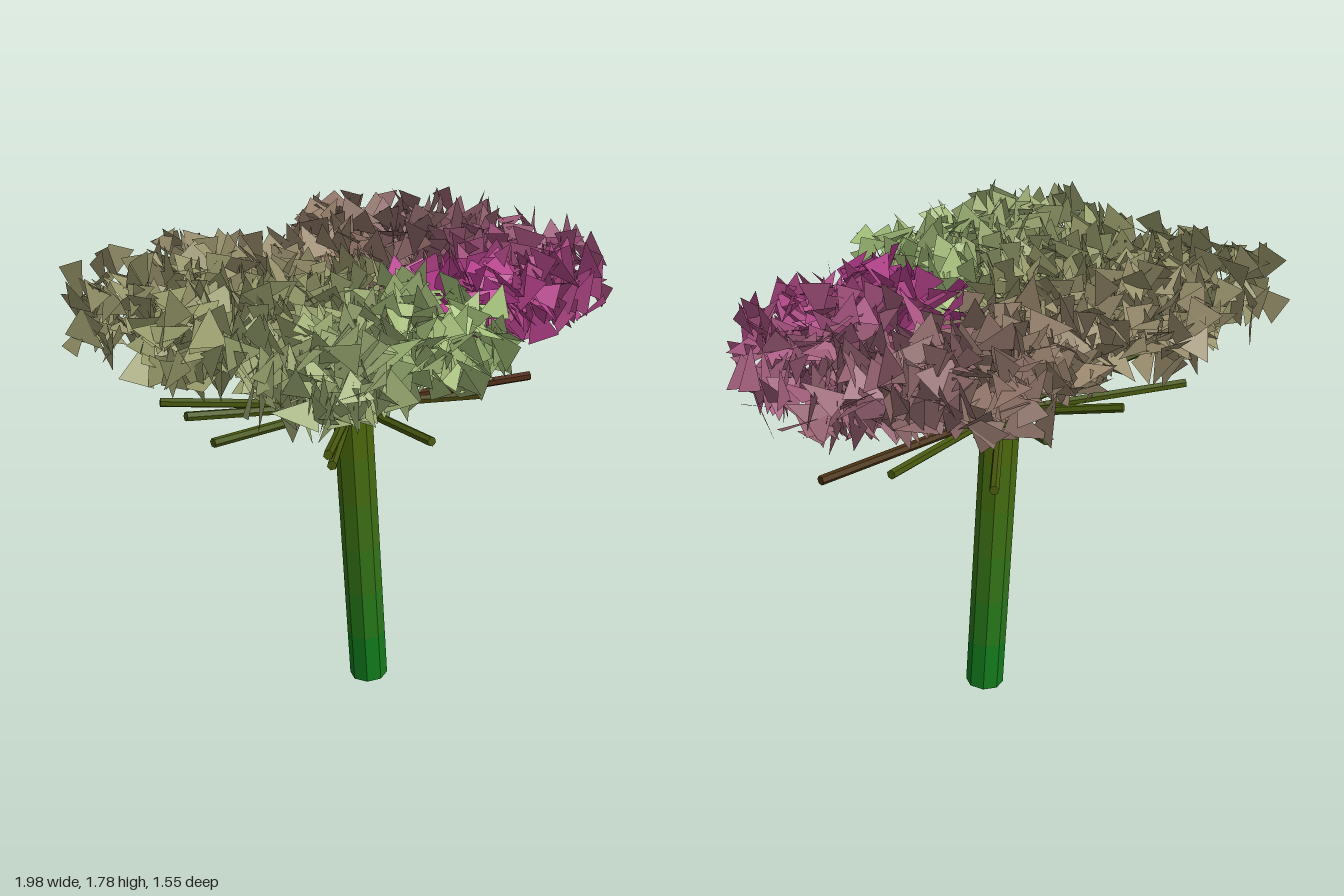
import * as THREE from 'three';

const TOP = new THREE.Vector3(-0.085, 1.14, -0.03);
const BASE = new THREE.Vector3(-0.01, 0.004, -0.03);

// Branch tips: x, y, z
const TIPS = [
  [0.74, 1.17, -0.06], [0.56, 1.19, -0.21], [0.52, 1.18, 0.26], [0.28, 1.17, 0.26],
  [-0.17, 1.19, 0.48], [-0.57, 1.24, 0.42], [-0.53, 1.18, 0.39], [-0.7, 1.17, -0.03],
  [-0.73, 1.24, -0.14], [-0.67, 1.2, -0.38], [-0.3, 1.24, -0.43], [0.07, 1.24, -0.44],
  [0.36, 1.18, -0.5],
];

// Leaf cluster centres: x, y, z
const CLUSTERS = [
  [0.71, 1.52, -0.06], [0.56, 1.55, -0.23], [0.54, 1.54, 0.24], [0.27, 1.56, 0.23],
  [-0.13, 1.54, 0.46], [-0.63, 1.54, 0.42], [-0.42, 1.55, 0.42], [-0.7, 1.55, -0.02],
  [-0.71, 1.57, -0.38], [-0.36, 1.57, -0.45], [0.02, 1.55, -0.34], [0.37, 1.57, -0.48],
  [-0.13, 1.54, 0.1], [-0.4, 1.55, -0.14],
];

// Leaf colours around the crown, from the front towards +x, the back, -x and the front again
const HUES = [0xb83a90, 0xae4784, 0xa0607a, 0x886864, 0x9a866e, 0x988f6c, 0x989a6a, 0x9fae76, 0xa6c47c]
  .map(h => new THREE.Color(h));
const SECTORS = 18;

function seeded(seed) {
  return () => {
    seed = (seed * 1664525 + 1013904223) % 4294967296;
    return seed / 4294967296;
  };
}

// Cylinder running from one point to another
function rod(a, b, radius, sides, color, capped) {
  const dir = b.clone().sub(a);
  const geo = new THREE.CylinderGeometry(radius, radius, dir.length(), sides, 1, !capped);
  const mesh = new THREE.Mesh(geo, new THREE.MeshStandardMaterial({
    color, flatShading: true, side: capped ? THREE.FrontSide : THREE.DoubleSide }));
  mesh.position.copy(a).add(b).multiplyScalar(0.5);
  mesh.quaternion.setFromUnitVectors(new THREE.Vector3(0, 1, 0), dir.normalize());
  return mesh;
}

function makeTrunk() {
  const trunk = new THREE.Group();
  trunk.name = 'trunk';
  const low = new THREE.Color(0x127a1c), high = new THREE.Color(0x4c680c);
  const bands = 6;
  for (let i = 0; i < bands; i++) {
    const a = BASE.clone().lerp(TOP, i / bands), b = BASE.clone().lerp(TOP, (i + 1) / bands);
    const color = low.clone().lerp(high, i / (bands - 1));
    const band = rod(a, b, 0.071, 8, color, i === 0 || i === bands - 1);
    band.name = 'trunkBand';
    trunk.add(band);
  }
  return trunk;
}

function makeBranches() {
  const branches = new THREE.Group();
  branches.name = 'branches';
  const olive = new THREE.Color(0x48580e), brown = new THREE.Color(0x4e2a14);
  for (const tip of TIPS) {
    const t = THREE.MathUtils.smoothstep(tip[0] + tip[2], 0.3, 0.8);
    const branch = rod(TOP, new THREE.Vector3(...tip), 0.017, 6, olive.clone().lerp(brown, t), true);
    branch.name = 'branch';
    branches.add(branch);
  }
  return branches;
}

// Flat triangular leaves, scattered in squat clusters and sorted by direction from the centre
function makeFoliage() {
  const rand = seeded(7);
  const sectors = Array.from({ length: SECTORS }, () => []);
  const corner = new THREE.Vector3(), euler = new THREE.Euler();
  for (const [cx, cy, cz] of CLUSTERS) {
    for (let i = 0; i < 130; i++) {
      const around = rand() * Math.PI * 2, r = 0.235 * Math.sqrt(rand());
      const x = cx + r * Math.cos(around), z = cz + r * Math.sin(around);
      const y = cy + (rand() * 2 - 1) * 0.13 * Math.sqrt(1 - (r / 0.32) ** 2);
      const turn = (Math.atan2(x - 0.06, z) / (Math.PI * 2) + 1) % 1;
      const list = sectors[Math.floor(turn * SECTORS)];
      euler.set(rand() * 6.28, rand() * 6.28, rand() * 6.28);
      const w = 0.045 + rand() * 0.02, h = 0.058 + rand() * 0.022;
      for (const [u, v] of [[-w, -h], [w, -h], [0, h]]) {
        corner.set(u, v, 0).applyEuler(euler);
        list.push(x + corner.x, y + corner.y, z + corner.z);
      }
    }
  }
  const foliage = new THREE.Group();
  foliage.name = 'foliage';
  sectors.forEach((points, i) => {
    const geo = new THREE.BufferGeometry();
    geo.setAttribute('position', new THREE.Float32BufferAttribute(points, 3));
    geo.computeVertexNormals();
    const t = i / (SECTORS - 1) * (HUES.length - 1), k = Math.min(Math.floor(t), HUES.length - 2);
    const color = HUES[k].clone().lerp(HUES[k + 1], t - k);
    const leaves = new THREE.Mesh(geo, new THREE.MeshStandardMaterial({
      color, flatShading: true, side: THREE.DoubleSide }));
    leaves.name = 'leaves';
    foliage.add(leaves);
  });
  return foliage;
}

export function createModel() {
  const tree = new THREE.Group();
  tree.name = 'tree';
  tree.add(makeTrunk(), makeBranches(), makeFoliage());
  return tree;
}
